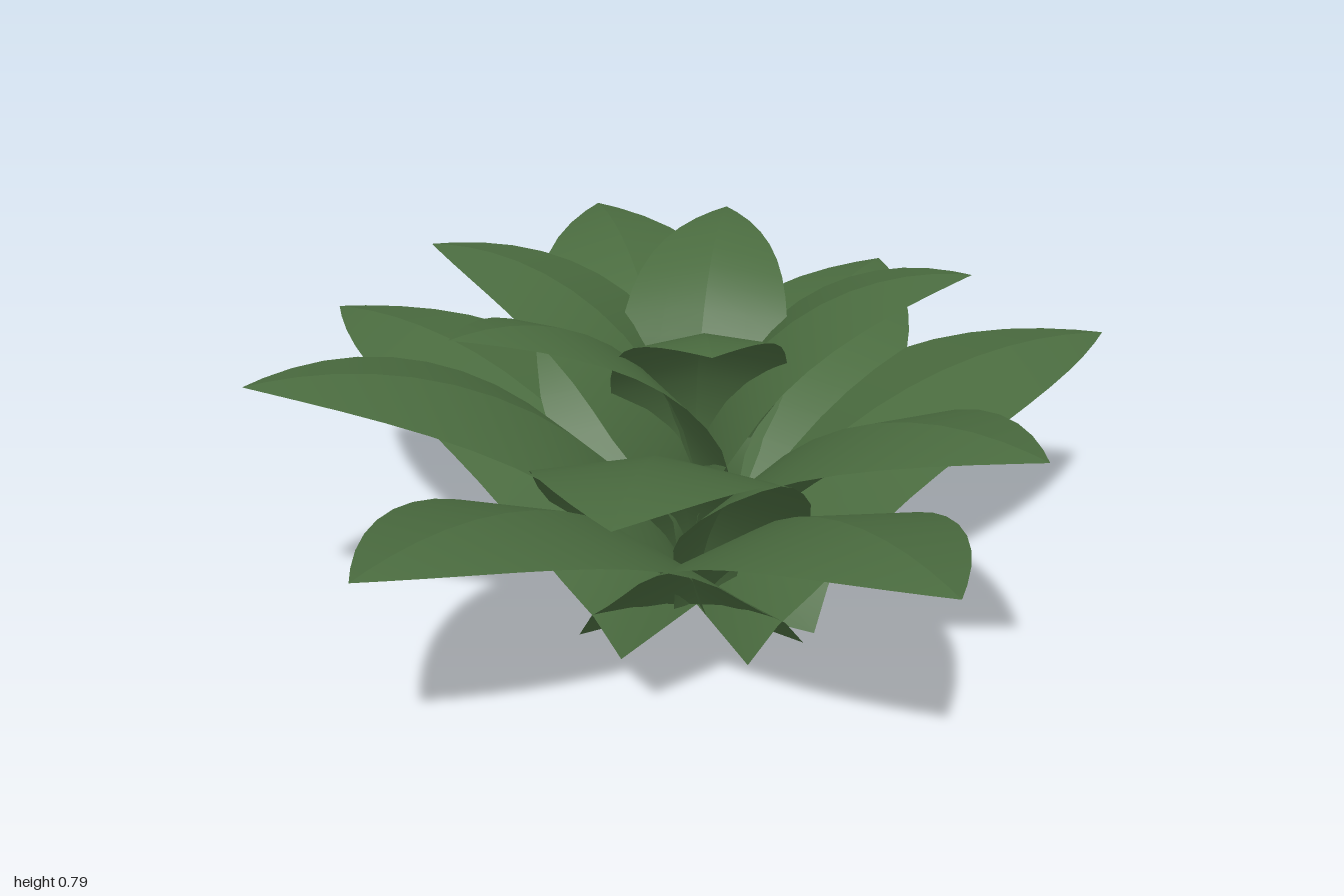
import * as THREE from 'three';

const rad = THREE.MathUtils.degToRad;
const SEGMENTS = 14;

// A leaf grows from the origin along +x, rising on a circular arc to its tip
// at distance reach and height rise; tipAngle is the slope at the tip.
// baseWidth is the width at the root as a fraction of the full width.
function leafGeometry(reach, rise, tipAngle, halfWidth, baseWidth) {
  const startAngle = 2 * Math.atan2(rise, reach) - tipAngle;
  const radius = reach / (Math.sin(startAngle) - Math.sin(tipAngle));
  const positions = [];
  const indices = [];

  // Two halves sloping down from a raised midrib; separate vertices keep it sharp
  for (const side of [-1, 1]) {
    const first = positions.length / 3;
    for (let i = 0; i <= SEGMENTS; i++) {
      const t = 1 - Math.pow(1 - i / SEGMENTS, 1.25); // denser towards the tip
      const angle = THREE.MathUtils.lerp(startAngle, tipAngle, t);
      const x = radius * (Math.sin(startAngle) - Math.sin(angle));
      const y = radius * (Math.cos(angle) - Math.cos(startAngle));
      const flare = baseWidth + (1 - baseWidth) * THREE.MathUtils.smoothstep(t, 0, 0.4);
      const w = halfWidth * flare * (1 - Math.pow(t, 4.2));
      const fold = -0.18 * w * THREE.MathUtils.smoothstep(t, 0, 0.25);
      for (const k of [0, 0.5, 1]) {
        positions.push(
          x - Math.sin(angle) * fold * k,
          y + Math.cos(angle) * fold * k,
          side * w * k
        );
      }
    }
    for (let i = 0; i < SEGMENTS; i++) {
      for (let j = 0; j < 2; j++) {
        const a = first + i * 3 + j;
        const b = a + 1, c = a + 3, d = a + 4;
        if (side > 0) indices.push(a, b, c, b, d, c);
        else indices.push(a, c, b, b, c, d);
      }
    }
  }

  const geometry = new THREE.BufferGeometry();
  geometry.setAttribute('position', new THREE.Float32BufferAttribute(positions, 3));
  geometry.setIndex(indices);
  geometry.computeVertexNormals();
  return geometry;
}

// Each leaf is [heading in degrees from +x towards +z, reach, half width, root height]
const layers = [
  {
    name: 'outerLeaf', top: 0.503, tip: -8, baseWidth: 1,
    leaves: [[0, 1.02, 0.29, 0], [84.5, 1.01, 0.29, 0], [149, 1.03, 0.29, 0],
      [236, 1.03, 0.29, 0], [319.4, 1.02, 0.29, 0]],
  },
  {
    name: 'middleLeaf', top: 0.652, tip: -8, baseWidth: 0.25,
    leaves: [[67, 0.92, 0.29, 0.01], [121, 0.93, 0.29, 0.01],
      [185, 0.945, 0.29, 0.01], [277, 0.94, 0.29, 0.01]],
  },
  {
    name: 'innerLeaf', top: 0.785, tip: -6, baseWidth: 0.5,
    leaves: [[22.5, 0.58, 0.23, 0.2], [108, 0.46, 0.19, 0.32], [164.6, 0.6, 0.23, 0.19],
      [222, 0.61, 0.23, 0.18], [301, 0.47, 0.19, 0.31]],
  },
];

export function createModel() {
  const model = new THREE.Group();
  model.name = 'leafRosette';
  const green = new THREE.MeshStandardMaterial({ color: 0x4a6b3f, side: THREE.DoubleSide });

  // Three tiers of leaves around a common stem axis
  for (const { name, top, tip, baseWidth, leaves } of layers) {
    leaves.forEach(([heading, reach, halfWidth, root], i) => {
      const geometry = leafGeometry(reach, top - root, rad(tip), halfWidth, baseWidth);
      const leaf = new THREE.Mesh(geometry, green);
      leaf.name = name + (i + 1);
      leaf.position.set(-0.04, root, -0.04);
      leaf.rotation.y = -rad(heading);
      model.add(leaf);
    });
  }
  return model;
}
